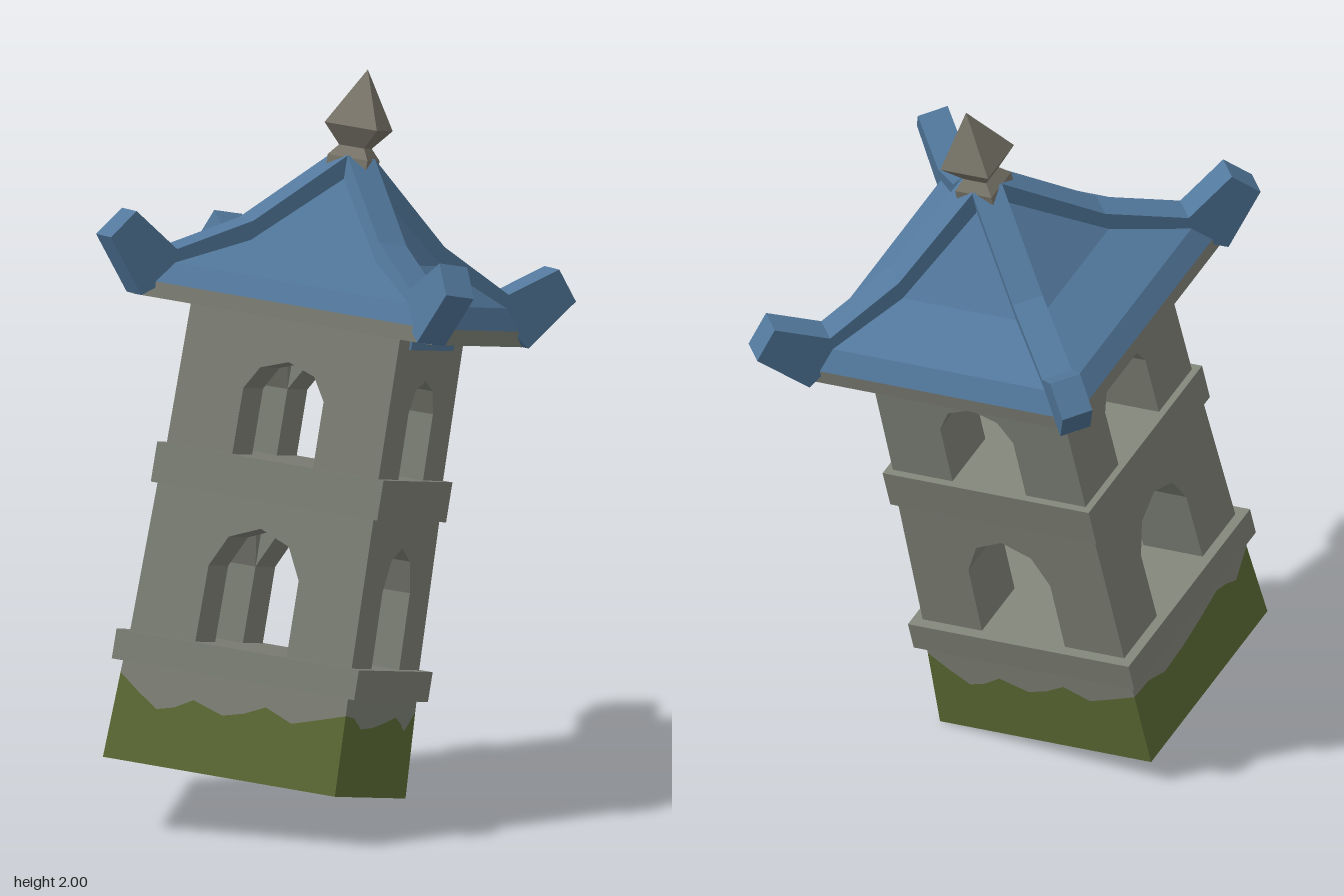
import * as THREE from 'three';

const stone = new THREE.MeshStandardMaterial({ color: 0x7f8277, side: THREE.DoubleSide });
stone.name = 'stone';
const moss = new THREE.MeshStandardMaterial({ color: 0x5e6c35, side: THREE.DoubleSide });
moss.name = 'moss';
const tile = new THREE.MeshStandardMaterial({ color: 0x52789c });
tile.name = 'blueTile';
const warmStone = new THREE.MeshStandardMaterial({ color: 0x7a766a });
warmStone.name = 'warmStone';

export function createModel() {
  const tower = new THREE.Group();
  tower.name = 'tower';

  const add = (name, geometry, material, parent = tower) => {
    const flat = geometry.index ? geometry.toNonIndexed() : geometry;
    flat.computeVertexNormals();
    const mesh = new THREE.Mesh(flat, material);
    mesh.name = name;
    parent.add(mesh);
    return mesh;
  };

  // Four-sided lathe; profile points are [half width, height]
  const squareLathe = (profile) => new THREE.LatheGeometry(
    profile.map(([h, y]) => new THREE.Vector2(h * Math.SQRT2, y)), 4, Math.PI / 4);

  const shapeOf = (points) => new THREE.Shape(points.map(([x, y]) => new THREE.Vector2(x, y)));

  // Narrow a geometry toward its top: x and z are scaled from 1 at y0 to k at y1
  const taper = (geometry, y0, y1, k) => {
    const p = geometry.attributes.position;
    for (let i = 0; i < p.count; i++) {
      const s = 1 + (k - 1) * (p.getY(i) - y0) / (y1 - y0);
      p.setX(i, p.getX(i) * s);
      p.setZ(i, p.getZ(i) * s);
    }
    return geometry;
  };

  // Hollow base: each thin wall is split along a wavy moss line
  const baseHalf = 0.333, baseTop = 0.268;
  const mossFront = [[-0.333, 0.235], [-0.27, 0.19], [-0.21, 0.152], [-0.16, 0.165], [-0.11, 0.193],
    [-0.02, 0.165], [0.04, 0.18], [0.1, 0.207], [0.18, 0.175], [0.25, 0.195], [0.333, 0.22]];
  const mossSide = [[-0.333, 0.22], [-0.25, 0.215], [-0.17, 0.185], [-0.06, 0.19], [0.045, 0.203],
    [0.15, 0.22], [0.2, 0.205], [0.245, 0.182], [0.333, 0.235]];
  for (let k = 0; k < 4; k++) {
    const line = k % 2 ? mossSide : mossFront;
    const lower = [[-baseHalf, 0], [baseHalf, 0], ...[...line].reverse()];
    const upper = [...line, [baseHalf, baseTop], [-baseHalf, baseTop]];
    for (const [name, points, material] of [['mossyBase', lower, moss], ['baseStone', upper, stone]]) {
      const g = new THREE.ShapeGeometry(shapeOf(points));
      g.translate(0, 0, baseHalf);
      g.rotateY(k * Math.PI / 2);
      add(name, taper(g, 0, baseTop, 0.97), material);
    }
  }

  // Ledges between the storeys
  const ledge = (name, half, y0, y1) => {
    const g = new THREE.BoxGeometry(half * 2, y1 - y0, half * 2);
    g.translate(0, (y0 + y1) / 2, 0);
    add(name, g, stone);
  };
  ledge('lowerLedge', 0.348, 0.268, 0.35);
  ledge('upperLedge', 0.325, 0.758, 0.868);

  // Storey: four thick walls with angular arches, meeting in crossing passages
  const storey = (name, half, y0, y1, arch, k) => {
    const group = new THREE.Group();
    group.name = name;
    tower.add(group);
    const { a, spring, shoulder, shoulderY, top } = arch;
    const outline = shapeOf([[-half, y0], [-a, y0], [-a, spring], [-shoulder, shoulderY], [0, top],
      [shoulder, shoulderY], [a, spring], [a, y0], [half, y0], [half, y1], [-half, y1]]);
    for (let i = 0; i < 4; i++) {
      const g = new THREE.ExtrudeGeometry(outline, { depth: half - a, bevelEnabled: false });
      g.translate(0, 0, a);
      g.rotateY(i * Math.PI / 2);
      add('archedWall', taper(g, y0, y1, k), stone, group);
    }
    const ceiling = new THREE.BoxGeometry(a * 2, y1 - top, a * 2);
    ceiling.translate(0, (y1 + top) / 2, 0);
    add('ceiling', ceiling, stone, group);
  };
  storey('lowerStorey', 0.318, 0.35, 0.758,
    { a: 0.131, spring: 0.56, shoulder: 0.088, shoulderY: 0.646, top: 0.682 }, 0.975);
  storey('upperStorey', 0.304, 0.868, 1.28,
    { a: 0.116, spring: 1.05, shoulder: 0.078, shoulderY: 1.113, top: 1.14 }, 0.987);

  // Blue stain on the side walls under the eaves
  for (const s of [-1, 1]) {
    const g = new THREE.BoxGeometry(0.006, 0.035, 0.4);
    g.translate(s * 0.303, 1.242, 0);
    add('wallStain', g, tile);
  }

  // Eaves and concave hipped roof
  add('eaves', squareLathe([[0, 1.257], [0.428, 1.257], [0.43, 1.3]]), stone);
  add('roof', squareLathe([[0.43, 1.3], [0.395, 1.358], [0.24, 1.447], [0.03, 1.68], [0, 1.68]]), tile);

  // Hip ridges ending in upturned horns
  const ridgeProfile = [[0.03, 1.71], [0.21, 1.5], [0.365, 1.395], [0.465, 1.482], [0.512, 1.402],
    [0.426, 1.258], [0.38, 1.3], [0.22, 1.42], [0.03, 1.62]];
  const ridgeShape = shapeOf(ridgeProfile.map(([h, y]) => [h * Math.SQRT2, y]));
  const ridgeWidth = 0.086;
  for (let k = 0; k < 4; k++) {
    const g = new THREE.ExtrudeGeometry(ridgeShape, { depth: ridgeWidth, bevelEnabled: false });
    g.translate(0, 0, -ridgeWidth / 2);
    g.rotateY(Math.PI / 4 + k * Math.PI / 2);
    add('hipRidge', g, tile);
  }

  // Finial with a collar and a pointed diamond
  add('finial', squareLathe([[0.057, 1.65], [0.057, 1.705], [0.036, 1.735], [0.075, 1.79], [0, 1.947]]), warmStone);

  // Lean the whole tower
  const lean = new THREE.Matrix4().makeBasis(
    new THREE.Vector3(0.982, -0.096, -0.161).normalize(),
    new THREE.Vector3(0.057, 0.971, -0.232).normalize(),
    new THREE.Vector3(0.177, 0.219, 0.959).normalize());
  tower.quaternion.setFromRotationMatrix(lean);
  tower.position.set(-0.0835, 0.105, 0.276);

  const model = new THREE.Group();
  model.name = 'leaningStoneTower';
  model.add(tower);
  return model;
}
